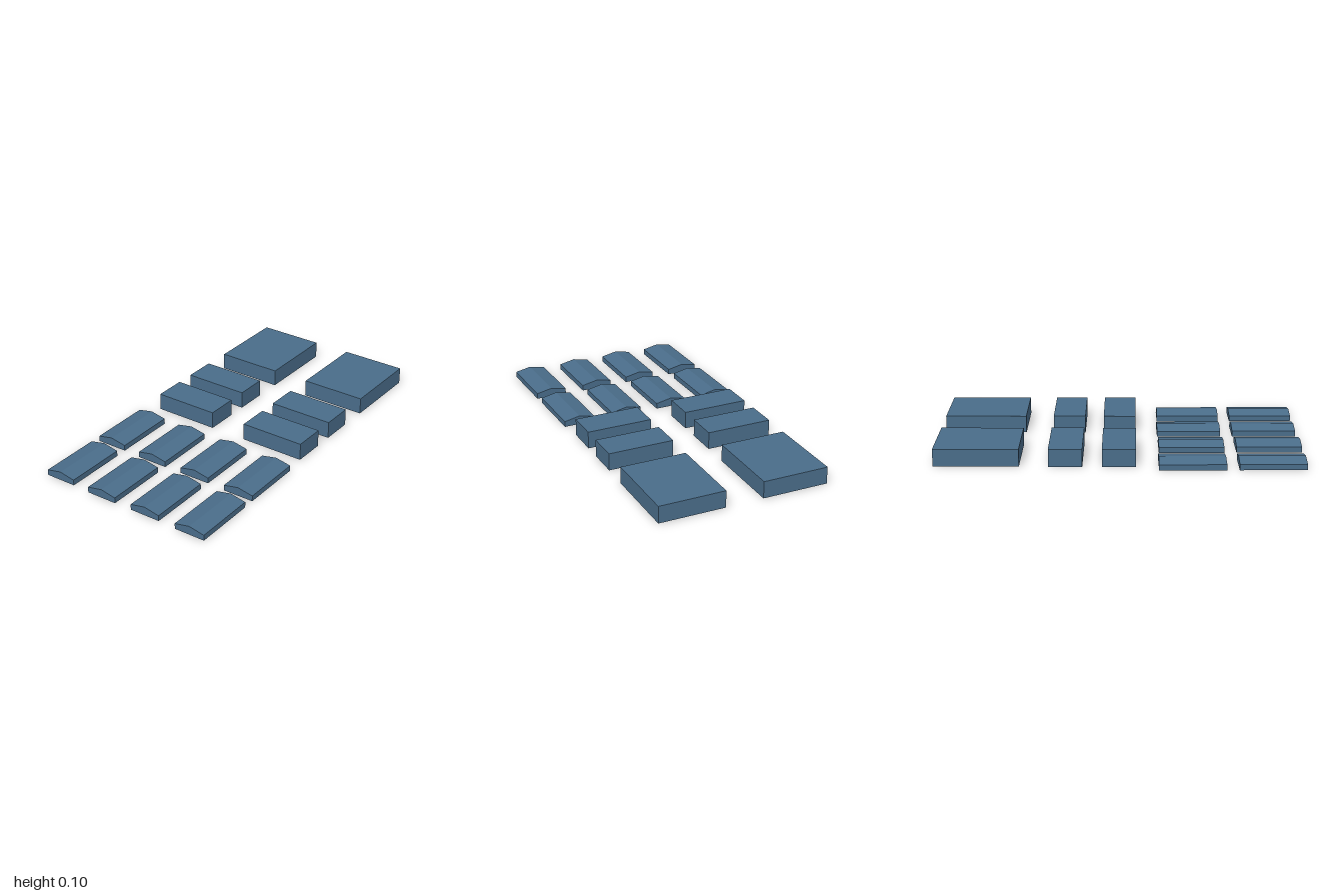
import * as THREE from 'three';

export function createModel() {
  const model = new THREE.Group();
  const material = new THREE.MeshStandardMaterial({ color: 0x4a6d8a, flatShading: true });

  const add = (name, geometry, x, y, z, turn = 0) => {
    const mesh = new THREE.Mesh(geometry, material);
    mesh.name = name;
    mesh.position.set(x, y, z);
    mesh.rotation.y = turn;
    model.add(mesh);
  };

  // Flat-roofed blocks: one large hall and two narrow blocks on each side
  const hall = new THREE.BoxGeometry(0.375, 0.096, 0.46);
  const block = new THREE.BoxGeometry(0.375, 0.098, 0.182);
  add('rightHall', hall, -0.281, 0.048, -0.768);
  add('leftHall', hall, 0.31, 0.048, -0.77);
  for (const z of [-0.291, -0.004]) {
    add('rightBlock', block, -0.283, 0.049, z);
    add('leftBlock', block, 0.307, 0.049, z);
  }

  // Low gabled sheds, turned very slightly
  const width = 0.18, length = 0.36, eaves = 0.032, ridge = 0.05;
  const gable = new THREE.Shape([
    new THREE.Vector2(-width / 2, 0),
    new THREE.Vector2(width / 2, 0),
    new THREE.Vector2(width / 2, eaves),
    new THREE.Vector2(0, ridge),
    new THREE.Vector2(-width / 2, eaves),
  ]);
  const shed = new THREE.ExtrudeGeometry(gable, { depth: length, bevelEnabled: false });
  shed.translate(0, 0, -length / 2);

  // Two rows of four sheds
  [[0.388, 0], [0.815, 0.007]].forEach(([z, shift], row) => {
    [-0.434, -0.148, 0.136, 0.424].forEach((x, i) => {
      add(`shed${row * 4 + i + 1}`, shed, x + shift, 0, z + (i % 2) * 0.004, 0.011);
    });
  });

  return model;
}
